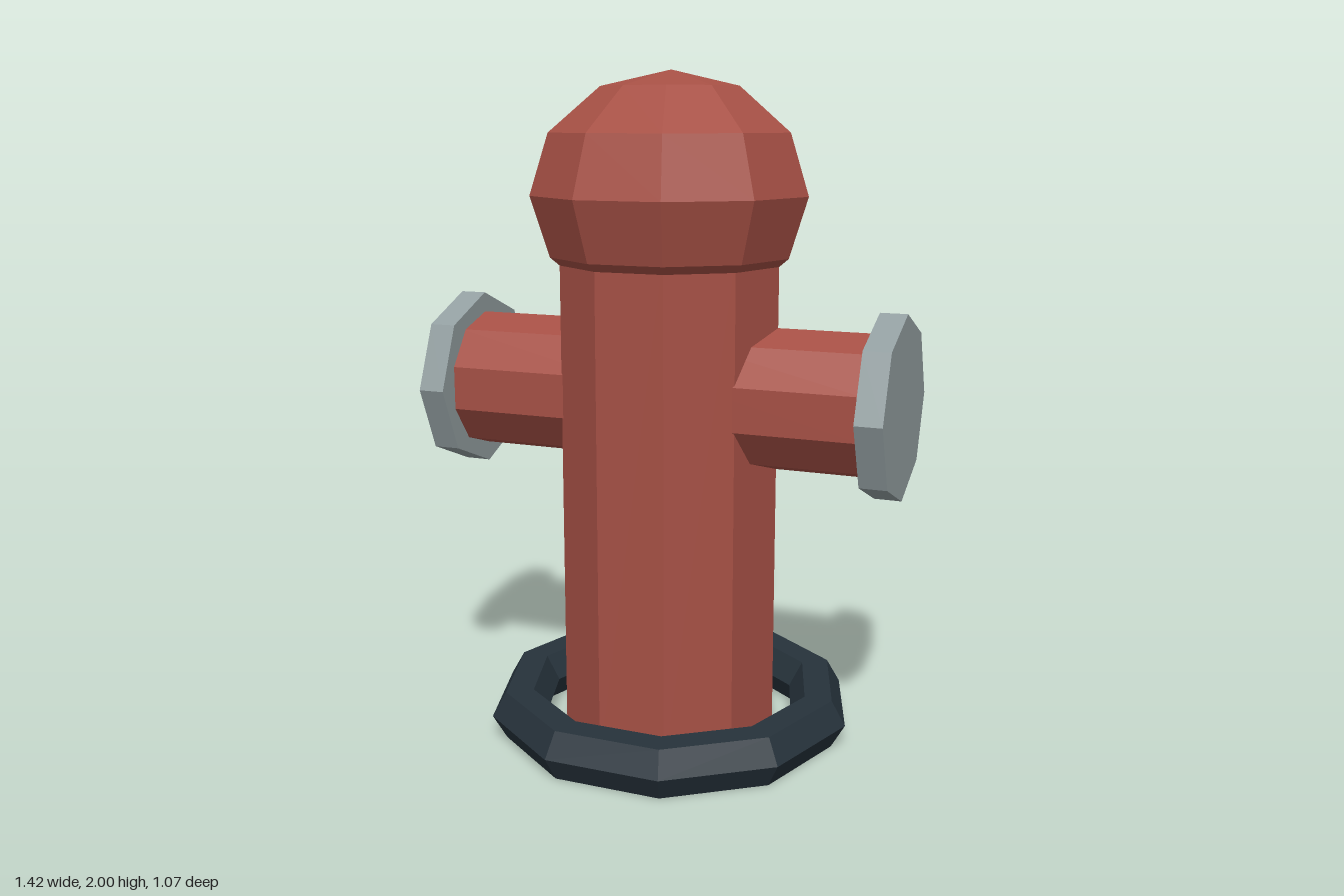
import * as THREE from 'three';

const paint = (color) => new THREE.MeshStandardMaterial({ color, flatShading: true });

export function createModel() {
  const red = paint(0xa65045);
  const steel = paint(0x939fa1);
  const dark = paint(0x26323b);
  const hydrant = new THREE.Group();
  hydrant.name = 'hydrant';

  const add = (name, geometry, material, x, y) => {
    const mesh = new THREE.Mesh(geometry, material);
    mesh.name = name;
    mesh.position.set(x, y, 0);
    hydrant.add(mesh);
  };

  // Ten-sided barrel, with a corner on the x axis
  const bodyTop = 1.5;
  add('barrel', new THREE.CylinderGeometry(0.333, 0.333, bodyTop, 10).rotateY(Math.PI / 2),
    red, 0, bodyTop / 2);

  // Slightly squashed faceted dome
  add('dome', new THREE.SphereGeometry(0.417, 10, 6).scale(1, 0.847, 1), red, 0, 1.647);

  // Loose base ring with a hexagonal section
  add('baseRing', new THREE.TorusGeometry(0.478, 0.085, 6, 10).rotateX(Math.PI / 2),
    dark, 0, 0.0736);

  // Side outlets and their octagonal caps
  const alongX = (radius, length, sides) =>
    new THREE.CylinderGeometry(radius, radius, length, sides)
      .rotateY(Math.PI / 2).rotateZ(Math.PI / 2);
  for (const [side, s] of [['left', 1], ['right', -1]]) {
    add(side + 'Outlet', alongX(0.21, 0.53, 10), red, s * 0.375, 1.06);
    add(side + 'Cap', alongX(0.27, 0.08, 8), steel, s * 0.67, 1.06);
  }

  return hydrant;
}
